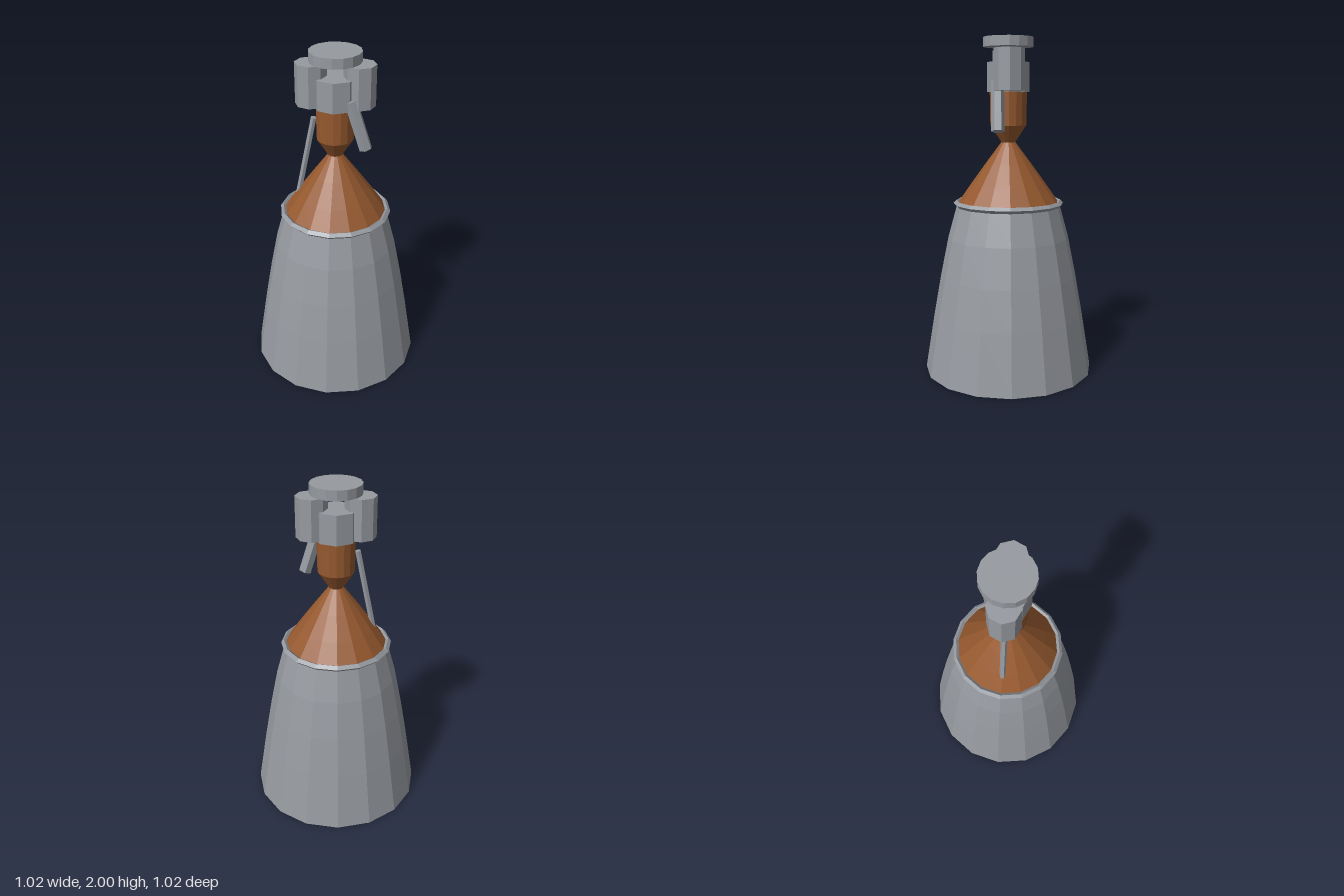
import * as THREE from 'three';

export function createModel() {
  const model = new THREE.Group();
  model.name = 'rocketEngine';

  const steel = new THREE.MeshStandardMaterial({ name: 'steel grey', color: 0x969aa0, flatShading: true, side: THREE.DoubleSide });
  const copper = new THREE.MeshStandardMaterial({ name: 'copper', color: 0x96592f, flatShading: true, side: THREE.DoubleSide });

  const add = (name, geometry, material) => {
    const mesh = new THREE.Mesh(geometry, material);
    mesh.name = name;
    model.add(mesh);
    return mesh;
  };
  const lathe = (name, profile, material) =>
    add(name, new THREE.LatheGeometry(profile.map(([r, y]) => new THREE.Vector2(r, y)), 16), material);
  const drum = (name, r, y0, y1, sides, x = 0) =>
    add(name, new THREE.CylinderGeometry(r, r, y1 - y0, sides), steel).position.set(x, (y0 + y1) / 2, 0);

  // Straight six-sided pipe between two points
  const pipe = (name, from, to, r) => {
    const a = new THREE.Vector3(...from), b = new THREE.Vector3(...to);
    const dir = b.clone().sub(a);
    const mesh = add(name, new THREE.CylinderGeometry(r, r, dir.length(), 6), steel);
    mesh.position.copy(a).add(b).multiplyScalar(0.5);
    mesh.quaternion.setFromUnitVectors(new THREE.Vector3(0, 1, 0), dir.normalize());
  };

  // Open nozzle bell
  lathe('nozzleBell', [[0.51, 0], [0.453, 0.35], [0.41, 0.59], [0.363, 0.82], [0.308, 1.02]], steel);

  // Diamond-section ring where the bell meets the chamber
  const ring = add('nozzleRing', new THREE.TorusGeometry(0.313, 0.018, 4, 16), steel);
  ring.rotation.x = Math.PI / 2;
  ring.position.y = 1.025;

  // Copper throat and combustion chamber
  lathe('combustionChamber', [[0.298, 1.035], [0.225, 1.14], [0.135, 1.265], [0.042, 1.39],
    [0.107, 1.49], [0.11, 1.69]], copper);

  // Injector body, twin pumps and mounting plate
  drum('injectorBody', 0.125, 1.685, 1.857, 8);
  for (const [name, side] of [['leftPump', 1], ['rightPump', -1]]) drum(name, 0.09, 1.693, 1.93, 8, side * 0.135);
  drum('mountingPlate', 0.147, 1.943, 2, 16);

  // Exhaust stub and feed line
  pipe('exhaustPipe', [0.178, 1.462, 0.066], [0.09, 1.744, 0.066], 0.038);
  pipe('feedLine', [-0.222, 1.11, 0], [-0.122, 1.61, 0], 0.018);

  return model;
}
